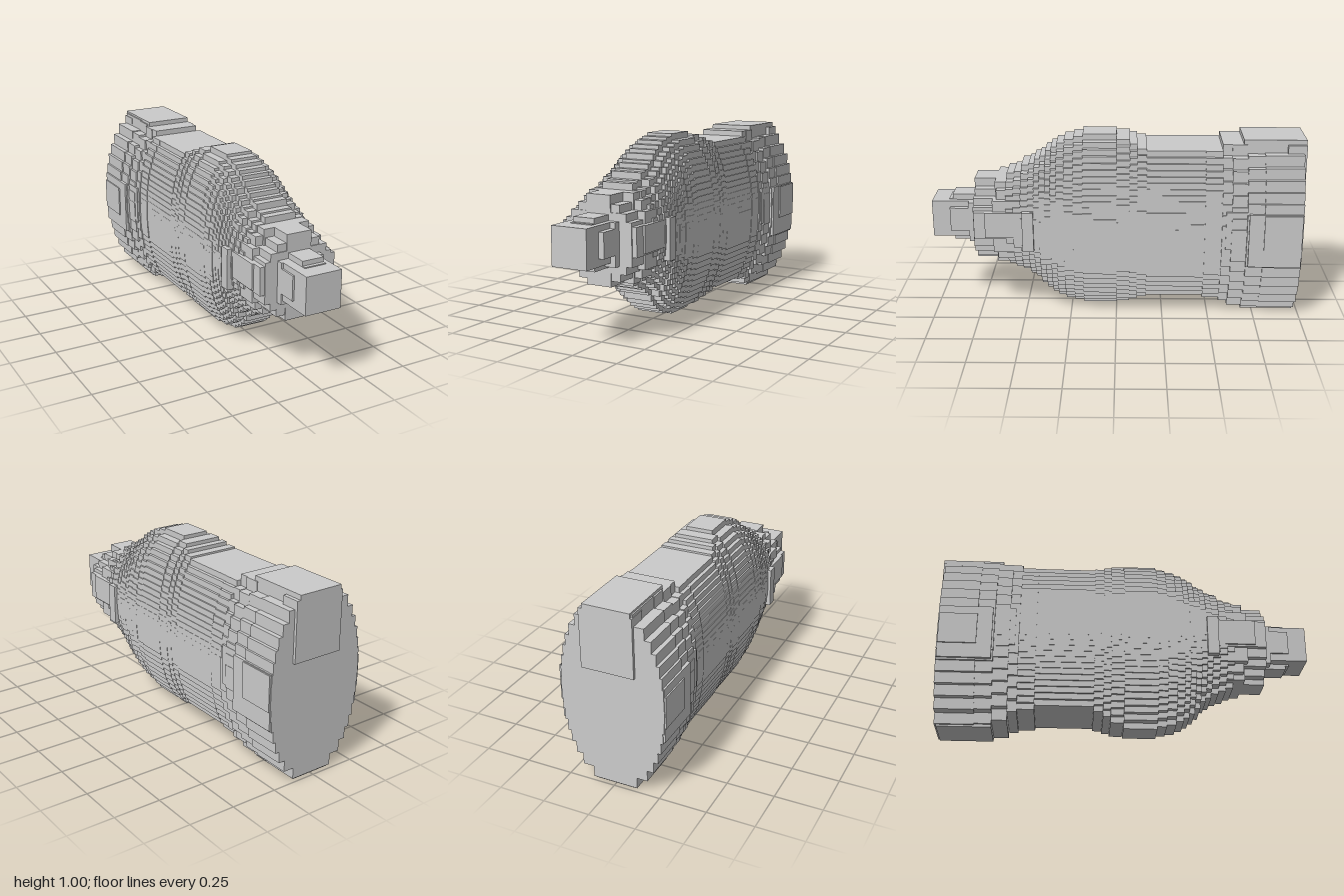
import * as THREE from 'three';

const material = new THREE.MeshStandardMaterial({ color: 0xcccccc, flatShading: true, side: THREE.DoubleSide });

// Staircase outline of an oval (half width w, from y0 to y1), cut flat at lo and hi
function steppedOval(w, y0, y1, lo, hi, power, step) {
  const mid = (y0 + y1) / 2, half = (y1 - y0) / 2;
  const rows = Math.max(4, Math.round((hi - lo) / step));
  const right = [];
  for (let i = 0; i < rows; i++) {
    const a = lo + (hi - lo) * i / rows, b = lo + (hi - lo) * (i + 1) / rows;
    const t = Math.min(0.985, Math.abs((a + b) / 2 - mid) / half);
    const x = w * Math.pow(1 - Math.pow(t, power), 1 / power);
    right.push(new THREE.Vector2(x, a), new THREE.Vector2(x, b));
  }
  const left = right.map(p => new THREE.Vector2(-p.x, p.y)).reverse();
  return new THREE.Shape([...right, ...left]);
}

function slab(group, name, zFront, zBack, shape) {
  const geometry = new THREE.ExtrudeGeometry(shape, { depth: zFront - zBack, bevelEnabled: false });
  const mesh = new THREE.Mesh(geometry, material);
  mesh.name = name;
  mesh.position.z = zBack;
  group.add(mesh);
}

// Box given by its limits on each axis
function block(group, name, x0, x1, y0, y1, z0, z1) {
  const mesh = new THREE.Mesh(new THREE.BoxGeometry(x1 - x0, y1 - y0, z1 - z0), material);
  mesh.name = name;
  mesh.position.set((x0 + x1) / 2, (y0 + y1) / 2, (z0 + z1) / 2);
  group.add(mesh);
}

export function createModel() {
  const model = new THREE.Group();
  model.name = 'steppedBody';

  // Nose: nested blocks
  const nose = new THREE.Group();
  nose.name = 'nose';
  model.add(nose);
  block(nose, 'noseTip', -0.11, 0.09, 0.42, 0.62, 0.7, 1);
  block(nose, 'noseTipCap', -0.06, 0.06, 0.41, 0.625, 0.7, 0.91);
  block(nose, 'noseCollar', -0.12, 0.12, 0.46, 0.59, 0.7, 0.9);
  block(nose, 'noseTopStep', -0.06, 0.06, 0.39, 0.65, 0.7, 0.89);
  block(nose, 'noseBase', -0.12, 0.12, 0.4, 0.62, 0.7, 0.8);

  // Snout: crossed blocks that make a stepped octagon
  const snout = new THREE.Group();
  snout.name = 'snout';
  model.add(snout);
  for (const [w, y0, y1, z] of [
    [0.07, 0.29, 0.745, 0.765], [0.12, 0.32, 0.70, 0.76], [0.16, 0.36, 0.66, 0.765],
    [0.19, 0.4, 0.62, 0.765], [0.215, 0.45, 0.6, 0.76],
    [0.13, 0.29, 0.745, 0.65], [0.17, 0.32, 0.71, 0.64], [0.2, 0.37, 0.66, 0.66]
  ]) block(snout, 'snoutBlock', -w, w, y0, y1, 0.5, z);

  // Front bulge and middle: zFront, zBack, half width, bottom, top, cut bottom, cut top
  const body = new THREE.Group();
  body.name = 'body';
  model.add(body);
  for (const [zf, zb, w, y0, y1, lo = y0, hi = y1] of [
    [0.59, 0.55, 0.215, 0.26, 0.78],
    [0.55, 0.51, 0.225, 0.24, 0.79],
    [0.51, 0.47, 0.23, 0.225, 0.825],
    [0.47, 0.44, 0.235, 0.2, 0.835],
    [0.44, 0.41, 0.235, 0.18, 0.86],
    [0.41, 0.38, 0.237, 0.14, 0.875],
    [0.38, 0.35, 0.238, 0.11, 0.905],
    [0.35, 0.32, 0.238, 0.085, 0.925],
    [0.32, 0.28, 0.24, 0.065, 0.945],
    [0.28, 0.23, 0.24, 0.045, 0.965],
    [0.23, 0.18, 0.24, 0.035, 0.98],
    [0.18, 0.0, 0.24, 0.02, 0.995],
    [0.0, -0.07, 0.24, 0.02, 0.995, 0.04, 0.975],
    [-0.07, -0.11, 0.24, 0.02, 0.995, 0.065, 0.955],
    [-0.11, -0.16, 0.24, 0.02, 0.995, 0.085, 0.935],
    [-0.16, -0.47, 0.24, 0.01, 0.995, 0.105, 0.925],
    [-0.47, -0.56, 0.243, 0.01, 0.995, 0.085, 0.925]
  ]) slab(body, 'bodySection', zf, zb, steppedOval(w, y0, y1, lo, hi, 2.25, 0.032));

  // Flared rear
  const rear = new THREE.Group();
  rear.name = 'rear';
  model.add(rear);
  for (const [zf, zb, w, lo, hi] of [
    [-0.56, -0.61, 0.25, 0.07, 0.955],
    [-0.61, -0.69, 0.258, 0.03, 0.955],
    [-0.69, -0.78, 0.27, 0.015, 0.965],
    [-0.78, -0.985, 0.278, 0.01, 0.97]
  ]) slab(rear, 'rearSection', zf, zb, steppedOval(w, 0, 0.985, lo, hi, 2.15, 0.06));
  block(rear, 'rearTopPad', -0.12, 0.13, 0.85, 0.98, -1, -0.67);
  block(rear, 'rearBottomPad', -0.11, 0.11, 0, 0.1, -0.975, -0.69);
  block(rear, 'backPlate', -0.13, 0.15, 0.64, 0.955, -1, -0.9);

  // Raised panels on the sides
  for (const s of [-1, 1]) {
    const side = (name, x, y0, y1, z0, z1) =>
      block(model, name, Math.min(0, s * x), Math.max(0, s * x), y0, y1, z0, z1);
    side('rearSidePanel', 0.285, s > 0 ? 0.42 : 0.4, s > 0 ? 0.61 : 0.57, -0.98, -0.78);
    side('rearSidePanelBase', 0.278, 0.32, 0.615, -0.98, -0.7);
    side('flankPanel', 0.254, 0.41, 0.62, -0.7, -0.58);
    side('cheekPanel', 0.25, 0.39, 0.61, 0.44, 0.5);
    side('snoutSidePanel', 0.225, 0.46, 0.6, 0.5, 0.7);
  }
  return model;
}
